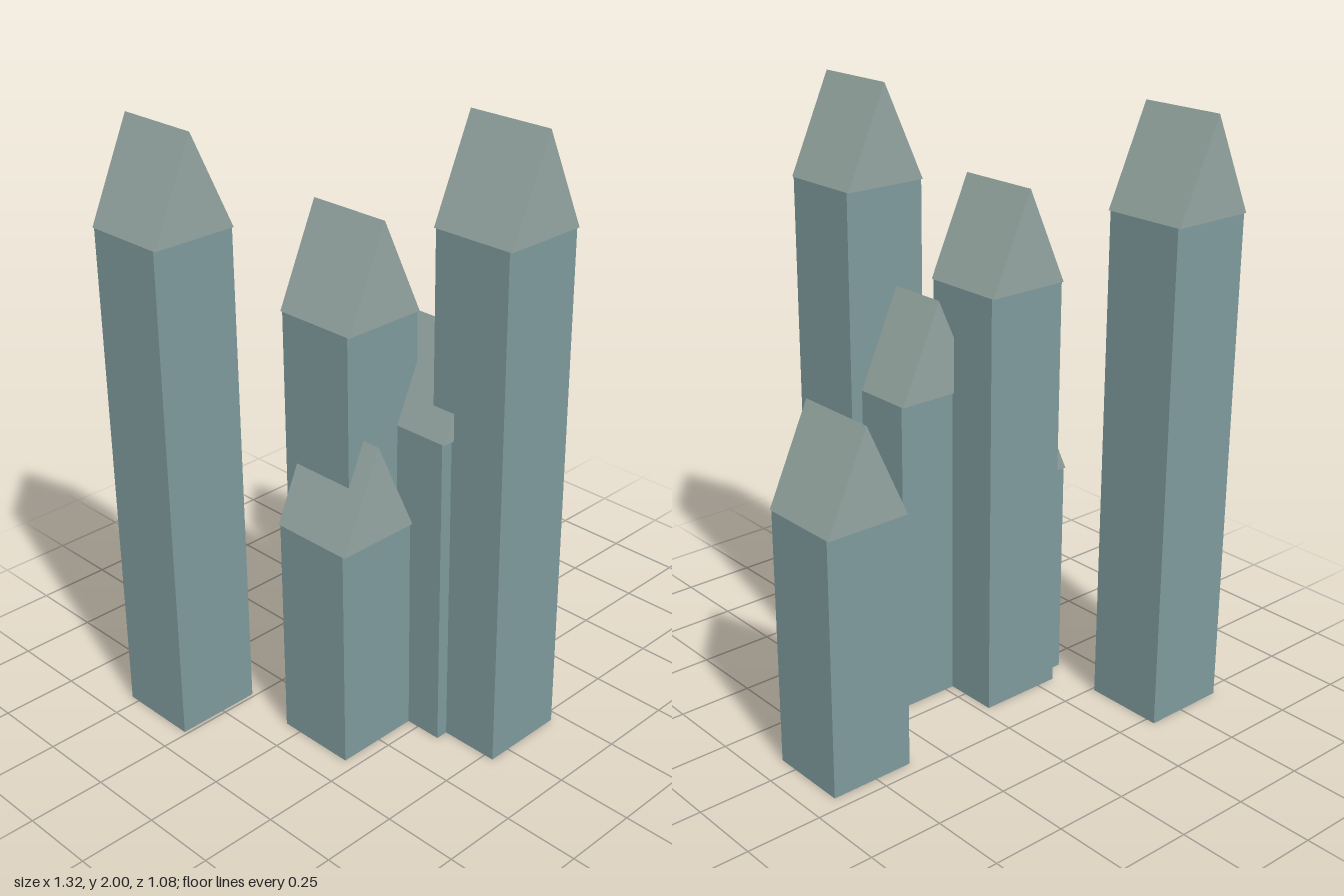
import * as THREE from 'three';

const WIDTH = 0.287, BODY_DEPTH = 0.271, ROOF_DEPTH = 0.287, ROOF_HEIGHT = 0.313;

// x, z, height of the walls
const TOWERS = [
  [-0.516, -0.397, 1.637],
  [-0.174, 0.018, 1.397],
  [-0.256, 0.073, 0.737],
  [0.029, 0.2, 1.05],
  [0.07, 0.397, 1.687],
  [0.514, -0.066, 0.849],
];

export function createModel() {
  const model = new THREE.Group();
  model.name = 'towers';

  const wallMaterial = new THREE.MeshStandardMaterial({ color: 0x7f9a9d, flatShading: true });
  const roofMaterial = new THREE.MeshStandardMaterial({ color: 0x94a5a1, flatShading: true });

  // Gable prism with its ridge along z, slightly deeper than the walls
  const gable = new THREE.Shape([
    new THREE.Vector2(-WIDTH / 2, 0),
    new THREE.Vector2(WIDTH / 2, 0),
    new THREE.Vector2(0, ROOF_HEIGHT),
  ]);
  const roofGeometry = new THREE.ExtrudeGeometry(gable, { depth: ROOF_DEPTH, bevelEnabled: false });
  roofGeometry.translate(0, 0, -ROOF_DEPTH / 2);

  for (const [x, z, height] of TOWERS) {
    const tower = new THREE.Group();
    tower.name = 'tower';
    tower.position.set(x, 0, z);

    const walls = new THREE.Mesh(new THREE.BoxGeometry(WIDTH, height, BODY_DEPTH), wallMaterial);
    walls.name = 'walls';
    walls.position.y = height / 2;

    const roof = new THREE.Mesh(roofGeometry, roofMaterial);
    roof.name = 'gableRoof';
    roof.position.y = height;

    tower.add(walls, roof);
    model.add(tower);
  }
  return model;
}
